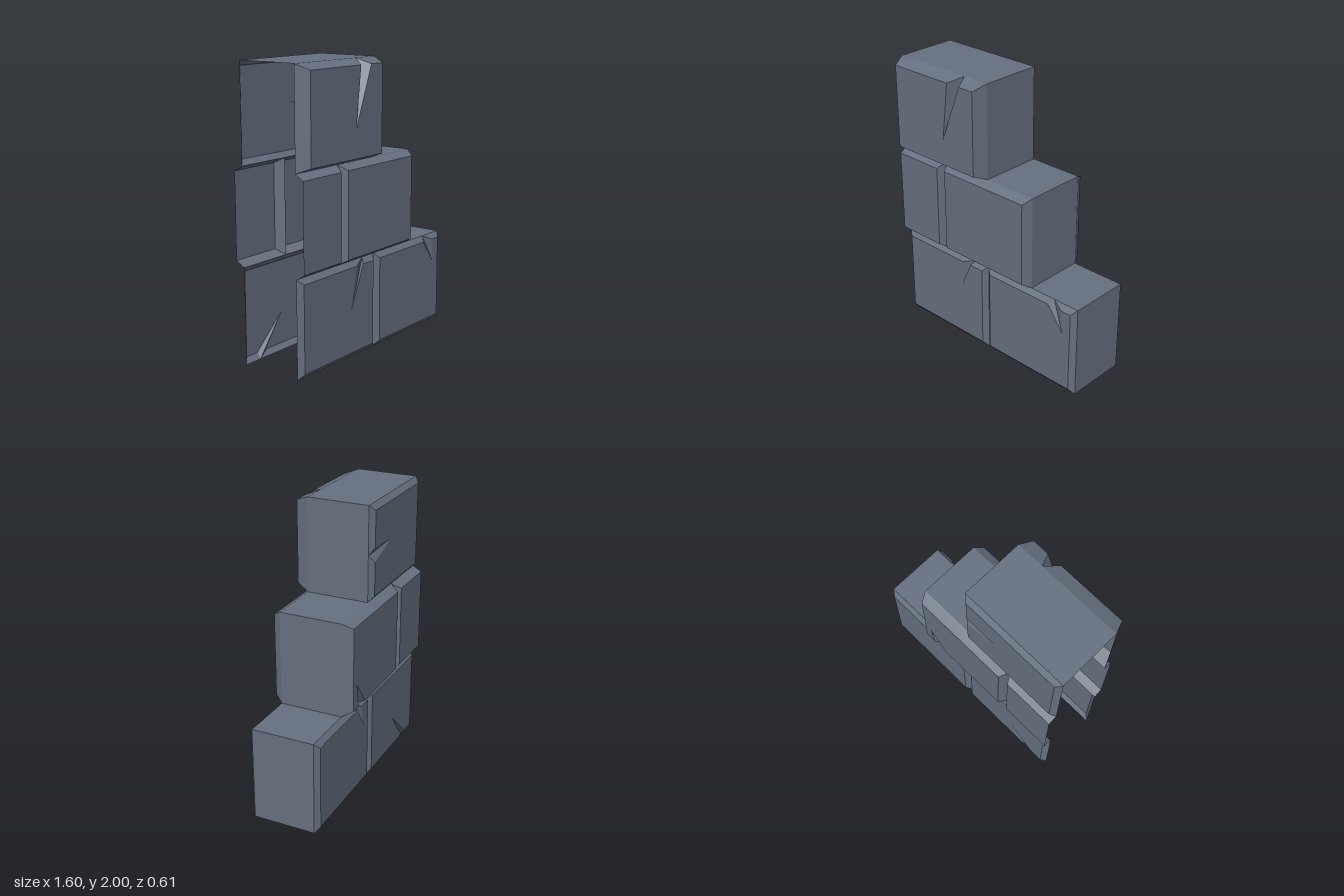
import * as THREE from 'three';

const stone = new THREE.MeshStandardMaterial({ color: 0x667080, side: THREE.DoubleSide });
stone.name = 'slate stone';

const FRONT = 0.21, BACK = -0.235; // planes the brick faces rise from
const ROW = 2 / 3, BEVEL = 0.037;

function flatMesh(name, triangles) {
  const geometry = new THREE.BufferGeometry();
  geometry.setAttribute('position', new THREE.Float32BufferAttribute(triangles.flat(2), 3));
  geometry.computeVertexNormals();
  const mesh = new THREE.Mesh(geometry, stone);
  mesh.name = name;
  return mesh;
}

// Bevelled brick face. A crack is a V cut through one bevel:
// a = apex on the outer edge, p and q = mouth on the inner edge, tip = end on the face.
function brickFace(name, { x0, x1, row, z, openLeft = false, cracks = {} }) {
  const base = z > 0 ? FRONT : BACK;
  const y0 = row * ROW, y1 = y0 + ROW;
  const ix0 = openLeft ? x0 : x0 + BEVEL, ix1 = x1 - BEVEL;
  const iy0 = y0 + BEVEL, iy1 = y1 - BEVEL;
  const outer = [[x0, y0], [x1, y0], [x1, y1], [x0, y1]];
  const inner = [[ix0, iy0], [ix1, iy0], [ix1, iy1], [ix0, iy1]];
  const triangles = [];
  const tri = (a, b, c) => triangles.push(z > 0 ? [a, b, c] : [a, c, b]);
  const quad = (a, b, c, d) => { tri(a, b, c); tri(a, c, d); };
  const low = (p) => [p[0], p[1], base];
  const high = (p) => [p[0], p[1], z];
  const contour = [];

  ['bottom', 'right', 'top', 'left'].forEach((side, i) => {
    const j = (i + 1) % 4;
    const o1 = low(outer[i]), o2 = low(outer[j]);
    const i1 = high(inner[i]), i2 = high(inner[j]);
    contour.push(inner[i]);
    if (side === 'left' && openLeft) return;
    const crack = cracks[side];
    if (!crack) { quad(o1, o2, i2, i1); return; }
    // place a value along this side
    const along = (corner, v) => (i % 2 ? [corner[0], v] : [v, corner[1]]);
    const p = along(inner[i], crack.p), q = along(inner[i], crack.q);
    const apex = low(along(outer[i], crack.a)), tip = high(crack.tip);
    quad(o1, apex, high(p), i1);
    quad(apex, o2, i2, high(q));
    tri(high(p), apex, tip);
    tri(apex, high(q), tip);
    contour.push(p, crack.tip, q);
  });

  // flat face with the cracks cut out
  const points = contour.map(([x, y]) => new THREE.Vector2(x, y));
  for (const [a, b, c] of THREE.ShapeUtils.triangulateShape(points, [])) {
    tri(high(contour[a]), high(contour[b]), high(contour[c]));
  }
  return flatMesh(name, triangles);
}

export function createModel() {
  const group = new THREE.Group();
  group.name = 'steppedBrickWall';

  // front bricks
  group.add(
    brickFace('frontBottomRightBrick', { x0: -0.8, x1: 0, row: 0, z: 0.241,
      cracks: { top: { a: -0.125, p: -0.15, q: -0.217, tip: [-0.28, 0.34] } } }),
    brickFace('frontBottomLeftBrick', { x0: 0, x1: 0.8, row: 0, z: 0.241,
      cracks: { top: { a: 0.6, p: 0.685, q: 0.573, tip: [0.7, 0.46] } } }),
    brickFace('frontMiddleHalfBrick', { x0: -0.8, x1: -0.39, row: 1, z: 0.272, openLeft: true }),
    brickFace('frontMiddleBrick', { x0: -0.39, x1: 0.4, row: 1, z: 0.272 }),
    brickFace('frontTopBrick', { x0: -0.8, x1: 0, row: 2, z: 0.306,
      cracks: { top: { a: -0.2, p: -0.157, q: -0.265, tip: [-0.315, 1.56] } } }),
  );

  // back bricks
  group.add(
    brickFace('backBottomRightBrick', { x0: -0.8, x1: 0, row: 0, z: -0.265,
      cracks: { bottom: { a: -0.66, p: -0.66, q: -0.57, tip: [-0.41, 0.265] } } }),
    brickFace('backBottomLeftBrick', { x0: 0, x1: 0.8, row: 0, z: -0.265,
      cracks: { top: { a: 0.2, p: 0.25, q: 0.14, tip: [0.1, 0.467] } } }),
    brickFace('backMiddleHalfBrick', { x0: -0.8, x1: -0.39, row: 1, z: -0.3, openLeft: true }),
    brickFace('backMiddleBrick', { x0: -0.39, x1: 0.4, row: 1, z: -0.306,
      cracks: { bottom: { a: 0.2, p: 0.18, q: 0.28, tip: [0.31, 0.88] } } }),
    brickFace('backTopBrick', { x0: -0.8, x1: 0, row: 2, z: -0.268,
      cracks: { right: { a: 1.66, p: 1.61, q: 1.71, tip: [-0.3, 1.7] } } }),
  );

  // step tops and stepped ends; the other end and the underside stay open
  const ends = [0.8, 0.4, 0];
  ends.forEach((x, row) => {
    const y0 = row * ROW, y1 = y0 + ROW;
    const left = row < 2 ? ends[row + 1] : -0.8;
    const a = [left, y1, FRONT], b = [x, y1, FRONT], c = [x, y1, BACK], d = [left, y1, BACK];
    const e = [x, y0, FRONT], f = [x, y0, BACK];
    group.add(flatMesh('stepTop', [[a, b, c], [a, c, d]]));
    group.add(flatMesh('stepEnd', [[e, f, c], [e, c, b]]));
  });
  return group;
}
